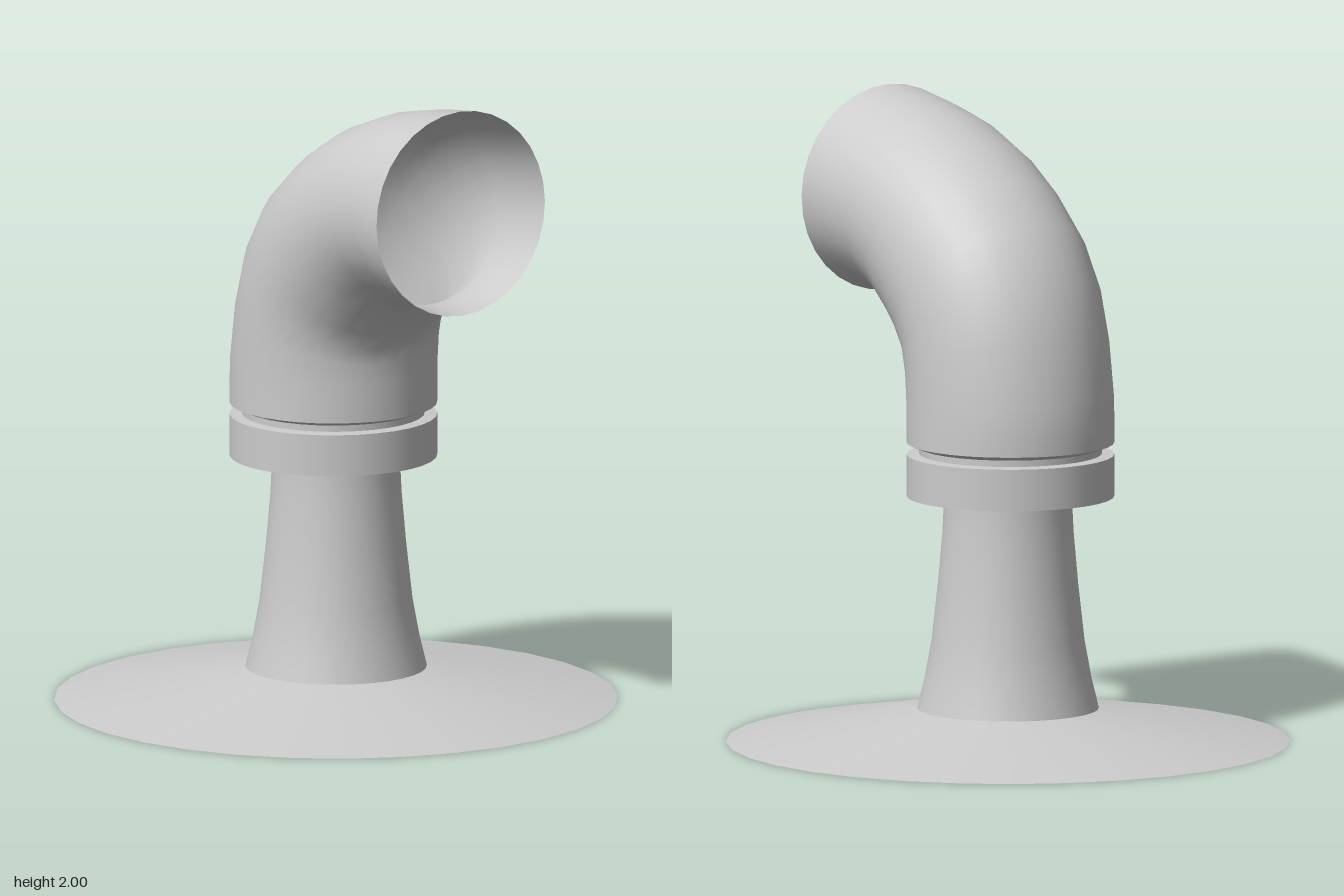
import * as THREE from 'three';

const SIDES = 32;
const material = new THREE.MeshStandardMaterial({ color: 0xcccccc, side: THREE.DoubleSide });

// Smooth surface of revolution from [radius, y] points
function lathe(name, points) {
  const profile = points.map(([r, y]) => new THREE.Vector2(r, y));
  const mesh = new THREE.Mesh(new THREE.LatheGeometry(profile, SIDES), material);
  mesh.name = name;
  return mesh;
}

// Crisp-edged surface of revolution: one band per profile step
function bandedLathe(name, points) {
  const group = new THREE.Group();
  group.name = name;
  for (let i = 0; i < points.length - 1; i++) {
    group.add(lathe(name + 'Band' + (i + 1), [points[i], points[i + 1]]));
  }
  return group;
}

// Bent pipe lofted through rings given as [outerX, outerY, innerX, innerY]
function bentPipe(name, rings, radius) {
  const positions = [], indices = [], row = SIDES + 1;
  rings.forEach(([ox, oy, ix, iy], j) => {
    for (let i = 0; i <= SIDES; i++) {
      const a = (i % SIDES) / SIDES * Math.PI * 2;
      const t = (1 + Math.cos(a)) / 2;
      positions.push(ox + (ix - ox) * t, oy + (iy - oy) * t, radius * Math.sin(a));
      if (j && i < SIDES) {
        const p = (j - 1) * row + i, q = p + row;
        indices.push(p, q, p + 1, q, q + 1, p + 1);
      }
    }
  });
  const geometry = new THREE.BufferGeometry();
  geometry.setAttribute('position', new THREE.Float32BufferAttribute(positions, 3));
  geometry.setIndex(indices);
  geometry.computeVertexNormals();
  // Blend the normals across the seam
  const n = geometry.attributes.normal;
  for (let j = 0; j < rings.length; j++) {
    const a = j * row, b = a + SIDES;
    const v = new THREE.Vector3().fromBufferAttribute(n, a)
      .add(new THREE.Vector3().fromBufferAttribute(n, b)).normalize();
    n.setXYZ(a, v.x, v.y, v.z);
    n.setXYZ(b, v.x, v.y, v.z);
  }
  const mesh = new THREE.Mesh(geometry, material);
  mesh.name = name;
  return mesh;
}

export function createModel() {
  const model = new THREE.Group();
  model.name = 'ventilationCowl';

  // Shallow conical flange, open in the middle and underneath
  model.add(lathe('baseFlange', [[0.885, 0], [0.285, 0.105]]));

  // Flared hollow neck running up into the collar
  model.add(lathe('neck', [[0.285, 0.105], [0.262, 0.2], [0.24, 0.32], [0.22, 0.5],
    [0.206, 0.66], [0.2, 0.78], [0.2, 0.93]]));

  // Collar ring with inner wall, groove and the lip under the elbow
  const collar = bandedLathe('collar', [[0.275, 0.95], [0.275, 0.78], [0.326, 0.78],
    [0.326, 0.912], [0.287, 0.915], [0.287, 0.935], [0.326, 0.95]]);
  collar.position.x = -0.014;
  model.add(collar);

  // Elbow with open mouth facing sideways
  model.add(bentPipe('elbow', [
    [-0.34, 0.95, 0.312, 0.95],
    [-0.34, 1.02, 0.312, 1.0],
    [-0.335, 1.11, 0.312, 1.07],
    [-0.302, 1.31, 0.312, 1.13],
    [-0.245, 1.49, 0.32, 1.18],
    [-0.145, 1.65, 0.35, 1.222],
    [0, 1.777, 0.4, 1.277],
    [0.16, 1.873, 0.45, 1.327],
    [0.34, 1.942, 0.5, 1.352],
    [0.5, 1.977, 0.58, 1.357],
    [0.66, 2, 0.673, 1.347],
  ], 0.326));

  return model;
}
